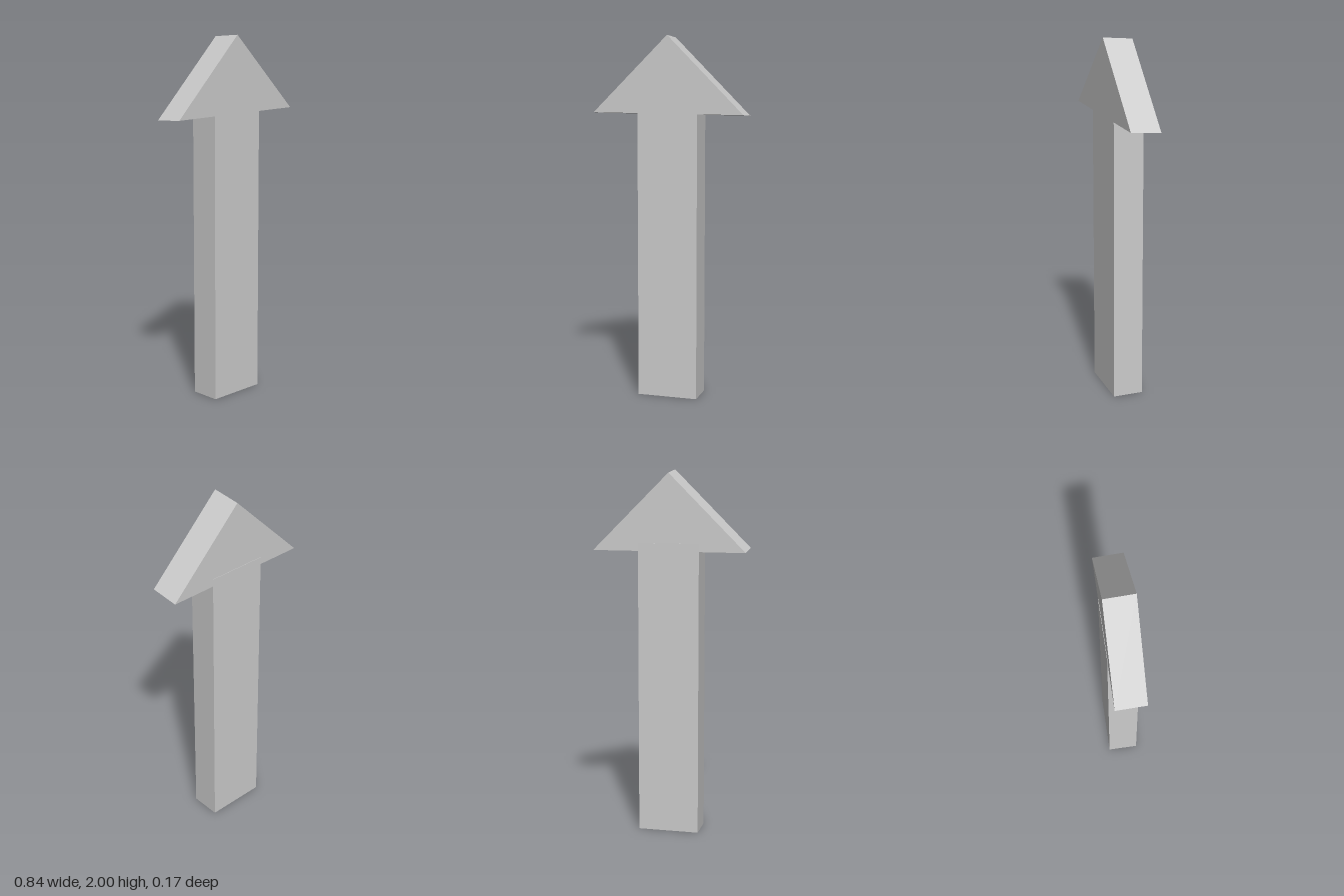
import * as THREE from 'three';

export function createModel() {
  const group = new THREE.Group();
  const material = new THREE.MeshStandardMaterial({ color: 0xcccccc, flatShading: true });

  // Straight rectangular shaft, its top buried in the head
  const shaftHeight = 1.61;
  const shaft = new THREE.Mesh(new THREE.BoxGeometry(0.336, shaftHeight, 0.168), material);
  shaft.name = 'shaft';
  shaft.position.y = shaftHeight / 2;
  group.add(shaft);

  // Triangular head, extruded from back to front
  const backZ = -0.082, depth = 0.166;
  const triangle = new THREE.Shape([
    new THREE.Vector2(-0.421, 1.567),
    new THREE.Vector2(0.421, 1.567),
    new THREE.Vector2(0, 1.986),
  ]);
  const headGeometry = new THREE.ExtrudeGeometry(triangle, { depth, bevelEnabled: false });
  // Shear so that the head rises slightly towards the front
  const shear = new THREE.Matrix4().set(
    1, 0, 0, 0,
    0, 1, 0.014 / depth, 0,
    0, 0, 1, backZ,
    0, 0, 0, 1,
  );
  headGeometry.applyMatrix4(shear);
  const head = new THREE.Mesh(headGeometry, material);
  head.name = 'arrowHead';
  group.add(head);

  return group;
}
